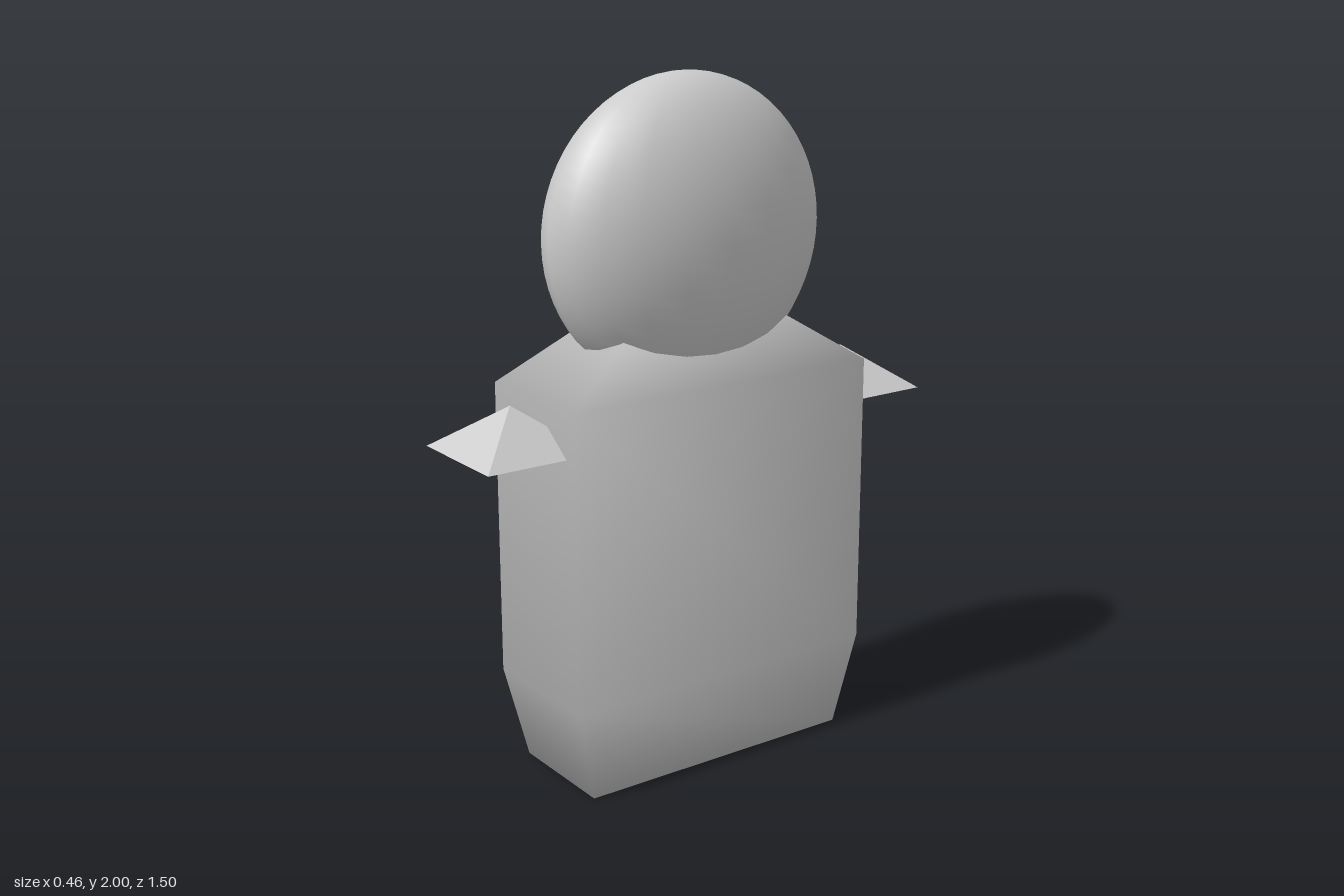
import * as THREE from 'three';

export function createModel() {
  const group = new THREE.Group();
  const smooth = new THREE.MeshStandardMaterial({ color: 0xcccccc });
  const faceted = new THREE.MeshStandardMaterial({ color: 0xcccccc, flatShading: true });

  const add = (name, geometry, material, x, y, z) => {
    const mesh = new THREE.Mesh(geometry, material);
    mesh.name = name;
    mesh.position.set(x, y, z);
    group.add(mesh);
    return mesh;
  };

  // Body: four-sided smooth lathe, flattened in x, with tapered foot and shoulders
  const profile = [[0, 0], [0.87, 0], [1, 0.28], [1, 1.15], [0.36, 1.36], [0, 1.36]]
    .map(([r, y]) => new THREE.Vector2(r * Math.SQRT2, y));
  const body = add('body', new THREE.LatheGeometry(profile, 4, Math.PI / 4), smooth, 0, 0, 0.005);
  body.scale.set(0.203, 1, 0.505);

  // Head: flattened ball sunk into the shoulders
  const head = add('head', new THREE.SphereGeometry(1, 20, 32), smooth, 0, 1.555, 0.005);
  head.scale.set(0.228, 0.445, 0.447);

  // Arms: low pyramids sticking out at the front and back
  for (const [name, side] of [['frontArm', 1], ['backArm', -1]]) {
    const pyramid = new THREE.ConeGeometry(0.168 * Math.SQRT2, 0.125, 4, 1, false, Math.PI / 4);
    add(name, pyramid, faceted, 0, 1.0775, side * 0.582);
  }

  return group;
}
